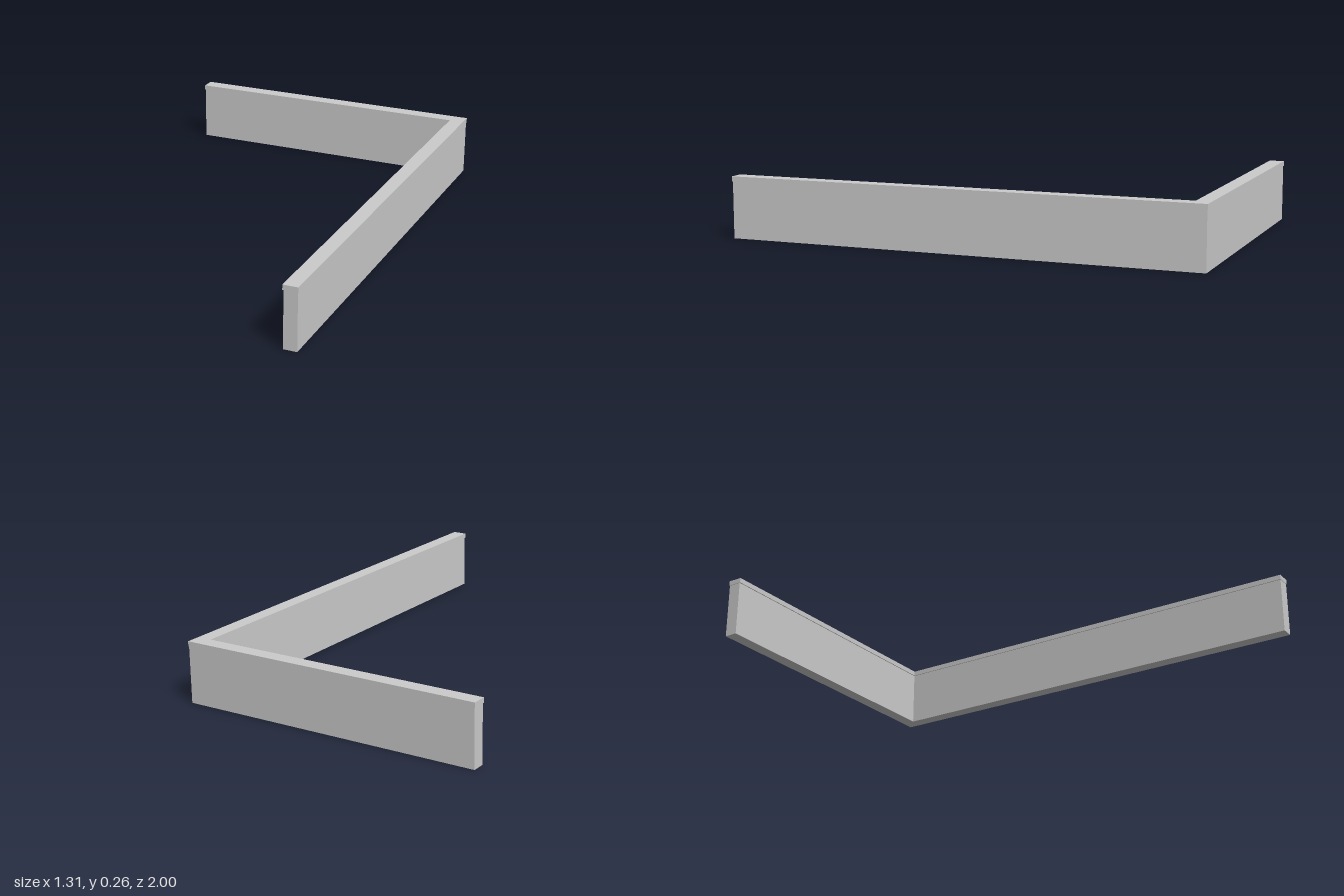
import * as THREE from 'three';

// L-shaped slab: long arm along z on the +x side, short arm along x at the back
function corner(name, inset, thickness, y0, y1) {
  const x = 0.655 - inset, z = 1 - inset, t = thickness;
  const outline = [[x, -z], [x, z], [-x, z], [-x, z - t], [x - t, z - t], [x - t, -z]];
  const shape = new THREE.Shape(outline.map(([a, b]) => new THREE.Vector2(a, b)));
  const geometry = new THREE.ExtrudeGeometry(shape, { depth: y1 - y0, bevelEnabled: false });
  geometry.rotateX(-Math.PI / 2).translate(0, y0, 0);
  const mesh = new THREE.Mesh(geometry, new THREE.MeshStandardMaterial({ color: 0xcccccc }));
  mesh.name = name;
  return mesh;
}

export function createModel() {
  const group = new THREE.Group();
  group.name = 'cornerWall';
  // Wall body, and a coping that overhangs it slightly all round
  group.add(corner('wall', 0.002, 0.056, 0, 0.237));
  group.add(corner('coping', 0, 0.062, 0.237, 0.258));
  return group;
}
